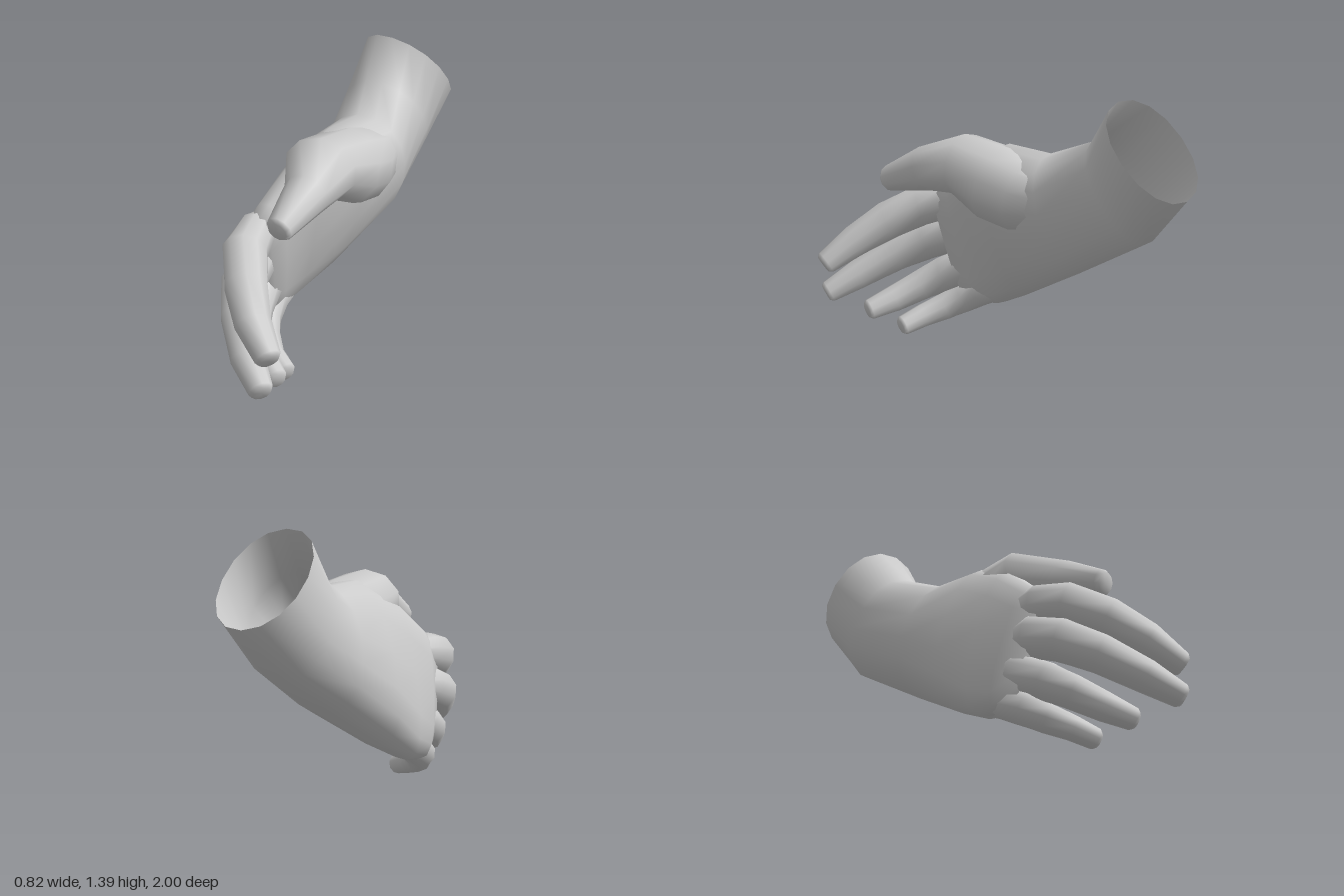
import * as THREE from 'three';

const material = new THREE.MeshStandardMaterial({ color: 0xcccccc, side: THREE.DoubleSide });
const V = (x, y, z) => new THREE.Vector3(x, y, z);

// Skin a chain of sections: { top, bottom, half, round } = ends of the long axis,
// half thickness, and roundness (1 = ellipse, less = boxier)
function loft(name, sections, sides) {
  const centers = sections.map(s => s.top.clone().add(s.bottom).multiplyScalar(0.5));
  const positions = [], index = [];
  sections.forEach((s, i) => {
    const u = s.top.clone().sub(s.bottom).multiplyScalar(0.5);
    const t = centers[Math.min(i + 1, centers.length - 1)].clone().sub(centers[Math.max(i - 1, 0)]);
    const v = t.cross(u).normalize().multiplyScalar(s.half);
    const shape = w => Math.sign(w) * Math.pow(Math.abs(w), s.round);
    for (let j = 0; j < sides; j++) {
      const a = (j / sides) * Math.PI * 2;
      const p = centers[i].clone().addScaledVector(u, shape(Math.cos(a))).addScaledVector(v, shape(Math.sin(a)));
      positions.push(p.x, p.y, p.z);
      if (i < sections.length - 1) {
        const k = (j + 1) % sides, r = i * sides, q = r + sides;
        index.push(r + j, r + k, q + j, r + k, q + k, q + j);
      }
    }
  });
  // Close the far end
  const last = (sections.length - 1) * sides, c = centers[centers.length - 1];
  positions.push(c.x, c.y, c.z);
  for (let j = 0; j < sides; j++) index.push(last + j, last + ((j + 1) % sides), last + sides);

  const g = new THREE.BufferGeometry();
  g.setAttribute('position', new THREE.Float32BufferAttribute(positions, 3));
  g.setIndex(index);
  g.computeVertexNormals();
  const mesh = new THREE.Mesh(g, material);
  mesh.name = name;
  return mesh;
}

// A digit follows joints [x, y, z, radius, optional half width] and ends in a blunt tip
function digit(name, joints) {
  const pts = joints.map(([x, y, z]) => V(x, y, z));
  const n = pts.length - 1, tipRadius = joints[n][3];
  const section = (p, dir, r, half) => {
    const up = V(0, 1, 0).addScaledVector(dir, -dir.y).normalize().multiplyScalar(r);
    return { top: p.clone().add(up), bottom: p.clone().sub(up), half, round: 1 };
  };
  const sections = joints.map(([, , , r, half = r], i) => {
    const dir = pts[Math.min(i + 1, n)].clone().sub(pts[Math.max(i - 1, 0)]).normalize();
    return section(pts[i], dir, r, half);
  });
  // Narrower ring just past the last joint
  const dir = pts[n].clone().sub(pts[n - 1]).normalize();
  const end = pts[n].clone().addScaledVector(dir, tipRadius * 0.3);
  sections.push(section(end, dir, tipRadius * 0.75, tipRadius * 0.75));
  return loft(name, sections, 10);
}

export function createModel() {
  const hand = new THREE.Group();
  hand.name = 'hand';

  // Open wrist flowing into the palm: thumb edge, little finger edge, half thickness, roundness
  const palm = [
    [V(-0.13, 1.39, -0.63), V(-0.19, 0.96, -1.0), 0.25, 0.95],
    [V(-0.09, 1.18, -0.5), V(-0.24, 0.71, -0.77), 0.235, 0.95],
    [V(0.03, 1.08, -0.29), V(-0.2, 0.51, -0.4), 0.23, 0.9],
    [V(0.05, 1.1, -0.02), V(-0.22, 0.3, -0.05), 0.205, 0.85],
    [V(-0.02, 0.99, 0.22), V(-0.22, 0.19, 0.16), 0.145, 0.75],
    [V(-0.07, 0.83, 0.41), V(-0.2, 0.17, 0.28), 0.11, 0.7],
    [V(-0.06, 0.77, 0.52), V(-0.15, 0.19, 0.38), 0.08, 0.7],
  ].map(([top, bottom, half, round]) => ({ top, bottom, half, round }));
  hand.add(loft('wristAndPalm', palm, 16));

  // Thumb with its broad fleshy base, then the four curled fingers
  const digits = {
    thumb: [[0.05, 0.86, -0.39, 0.13, 0.07], [0.045, 0.88, -0.2, 0.185, 0.17], [0.05, 0.92, -0.03, 0.195, 0.205],
      [0.07, 0.985, 0.19, 0.155, 0.195], [0.15, 0.94, 0.39, 0.115], [0.18, 0.855, 0.62, 0.068]],
    indexFinger: [[-0.1, 0.72, 0.26, 0.06], [-0.1, 0.7, 0.47, 0.1], [-0.05, 0.665, 0.61, 0.112],
      [0.08, 0.58, 0.75, 0.105], [0.22, 0.475, 0.86, 0.088], [0.367, 0.375, 0.925, 0.064]],
    middleFinger: [[-0.13, 0.57, 0.22, 0.06], [-0.125, 0.53, 0.45, 0.105], [-0.08, 0.475, 0.6, 0.108],
      [0.03, 0.39, 0.74, 0.097], [0.19, 0.28, 0.87, 0.082], [0.337, 0.2, 0.945, 0.06]],
    ringFinger: [[-0.15, 0.41, 0.16, 0.06], [-0.15, 0.36, 0.37, 0.1], [-0.1, 0.295, 0.5, 0.096],
      [-0.02, 0.23, 0.6, 0.085], [0.11, 0.165, 0.68, 0.072], [0.24, 0.125, 0.73, 0.056]],
    littleFinger: [[-0.17, 0.3, 0.1, 0.06], [-0.165, 0.24, 0.29, 0.085], [-0.13, 0.18, 0.39, 0.082],
      [-0.06, 0.13, 0.465, 0.074], [0.04, 0.088, 0.53, 0.062], [0.155, 0.053, 0.565, 0.053]],
  };
  for (const [name, joints] of Object.entries(digits)) hand.add(digit(name, joints));
  return hand;
}
